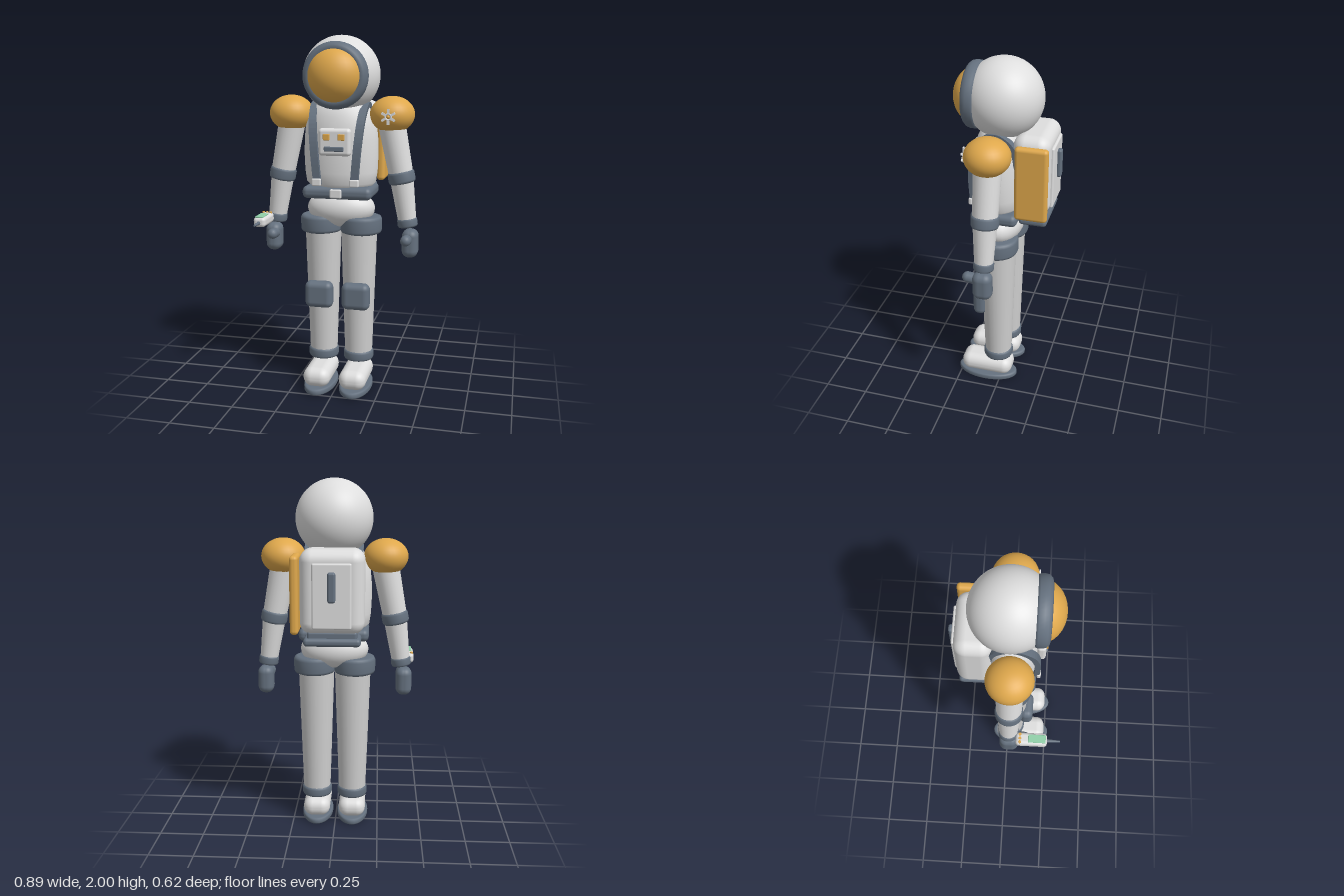
import * as THREE from 'three';
import { RoundedBoxGeometry } from 'three/addons/geometries/RoundedBoxGeometry.js';

const mat = (name, color) => {
  const m = new THREE.MeshStandardMaterial({ color });
  m.name = name;
  return m;
};
const V = (x, y, z = 0) => new THREE.Vector3(x, y, z);

export function createModel() {
  const suit = mat('suitWhite', 0xdedede);
  const cloth = mat('legCloth', 0xcfcfcf);
  const grey = mat('slateGrey', 0x65717f);
  const gold = mat('gold', 0xdfa84c);
  const green = mat('screenGreen', 0x90cfa8);

  const model = new THREE.Group();
  model.name = 'astronaut';
  const body = new THREE.Group();
  body.name = 'body';
  body.position.set(0.006, 0, 0.02);
  model.add(body);

  const add = (name, geo, material, x = 0, y = 0, z = 0) => {
    const m = new THREE.Mesh(geo, material);
    m.name = name;
    m.position.set(x, y, z);
    body.add(m);
    return m;
  };
  const box = (name, material, w, h, d, r, x, y, z) =>
    add(name, new RoundedBoxGeometry(w, h, d, 4, r), material, x, y, z);
  const ball = (name, material, rx, ry, rz, x, y, z) =>
    add(name, new THREE.SphereGeometry(1, 32, 20).scale(rx, ry, rz), material, x, y, z);
  const lathe = (pts, seg = 32) => new THREE.LatheGeometry(pts.map(p => new THREE.Vector2(...p)), seg);
  // soft-edged disc or cuff centred on its own middle
  const band = (r, h, e = 0.015) => lathe([[0, -h / 2], [r - e, -h / 2], [r - e * 0.3, -h / 2 + e * 0.3],
    [r, -h / 2 + e], [r, h / 2 - e], [r - e * 0.3, h / 2 - e * 0.3], [r - e, h / 2], [0, h / 2]]);
  const along = (mesh, a, b) => {
    mesh.quaternion.setFromUnitVectors(V(0, 1), b.clone().sub(a).normalize());
    return mesh;
  };
  // tapered limb from a (radius ra) up to b (radius rb)
  const limb = (name, material, a, b, ra, rb) => {
    const mid = a.clone().lerp(b, 0.5);
    along(add(name, new THREE.CylinderGeometry(rb, ra, a.distanceTo(b), 24), material, mid.x, mid.y, mid.z), a, b);
  };

  // helmet, visor rim and visor
  add('helmet', new THREE.SphereGeometry(0.213, 48, 32), suit, 0, 1.787, -0.01);
  add('visorRim', lathe([[0.15, 0.105], [0.172, 0.11], [0.178, 0.125], [0.178, 0.15], [0.173, 0.168],
    [0.16, 0.181], [0.143, 0.186], [0.13, 0.18]], 48).rotateX(Math.PI / 2), grey, 0, 1.787, 0);
  ball('visor', gold, 0.156, 0.153, 0.13, 0, 1.787, 0.13);

  // torso
  add('torso', lathe([[0, 1.17], [0.17, 1.175], [0.196, 1.2], [0.205, 1.26], [0.209, 1.35], [0.207, 1.44],
    [0.2, 1.51], [0.183, 1.57], [0.15, 1.625], [0.09, 1.66], [0, 1.67]], 40).scale(1, 1, 0.7), suit);
  ball('pelvis', suit, 0.193, 0.11, 0.122, 0, 1.05, 0);
  box('belt', grey, 0.39, 0.07, 0.26, 0.03, 0, 1.15, 0.005);
  box('beltBuckle', suit, 0.065, 0.05, 0.02, 0.008, 0, 1.15, 0.138);

  // chest control panel
  box('chestPanel', suit, 0.178, 0.148, 0.05, 0.02, 0, 1.435, 0.152);
  for (const s of [-1, 1]) box('panelButton', gold, 0.036, 0.034, 0.012, 0.004, s * 0.041, 1.464, 0.18);
  box('panelSlot', grey, 0.108, 0.026, 0.012, 0.005, 0, 1.4, 0.18);

  // harness straps curving over the shoulders
  const outer = [[0.15, 1.2], [0.155, 1.35], [0.146, 1.46], [0.118, 1.55], [0.06, 1.62], [0, 1.643],
    [-0.06, 1.62], [-0.11, 1.56], [-0.13, 1.45], [-0.14, 1.25]];
  const inner = [[0.12, 1.2], [0.125, 1.35], [0.115, 1.45], [0.09, 1.535], [0.045, 1.595], [0, 1.615],
    [-0.045, 1.595], [-0.085, 1.54], [-0.1, 1.45], [-0.11, 1.25]];
  const smooth = pts => new THREE.SplineCurve(pts.map(p => new THREE.Vector2(...p))).getPoints(36);
  for (const s of [-1, 1]) {
    const outline = new THREE.Shape([...smooth(outer), ...smooth(inner).reverse()]);
    const g = new THREE.ExtrudeGeometry(outline, { depth: 0.042, bevelEnabled: false });
    g.translate(0, 0, -0.021).rotateY(-Math.PI / 2);
    const p = g.attributes.position;
    for (let i = 0; i < p.count; i++) p.setX(i, p.getX(i) + s * (0.102 + (p.getY(i) - 1.2) * 0.09));
    g.computeVertexNormals();
    add('harnessStrap', g, grey);
    box('strapBuckle', suit, 0.052, 0.042, 0.022, 0.008, s * 0.105, 1.213, 0.148);
  }

  // backpack with side tank, rear plate, handle and base
  box('backpack', suit, 0.348, 0.455, 0.2, 0.065, 0, 1.415, -0.192);
  box('backPlate', suit, 0.21, 0.35, 0.024, 0.01, 0, 1.4, -0.293);
  box('backHandle', grey, 0.042, 0.16, 0.03, 0.012, 0, 1.45, -0.313);
  box('backpackBase', grey, 0.31, 0.045, 0.155, 0.02, 0, 1.146, -0.205);
  box('baseNeck', grey, 0.27, 0.05, 0.12, 0.015, 0, 1.18, -0.205);
  box('sideTank', gold, 0.046, 0.42, 0.177, 0.02, 0.2, 1.4, -0.208);

  for (const s of [-1, 1]) {
    // arm
    const shoulder = V(s * 0.272, 1.58), elbow = V(s * 0.341, 1.235), wrist = V(s * 0.379, 0.975);
    ball('shoulderCap', gold, 0.123, 0.1, 0.123, s * 0.285, 1.577, 0);
    limb('upperArm', suit, elbow, shoulder, 0.067, 0.077);
    limb('forearm', suit, wrist, elbow, 0.05, 0.066);
    along(add('elbowCuff', band(0.075, 0.07), grey, elbow.x, elbow.y, 0), elbow, shoulder);
    along(add('wristCuff', band(0.056, 0.052, 0.012), grey, s * 0.378, 0.982, 0), wrist, elbow);
    // glove
    box('glove', grey, 0.09, 0.16, 0.108, 0.04, s * 0.396, 0.865, 0.003);
    const thumb = add('thumb', new THREE.CapsuleGeometry(0.03, 0.045, 6, 14), grey, s * 0.382, 0.893, 0.068);
    thumb.rotation.x = Math.PI / 2 - 0.1;

    // leg
    limb('leg', cloth, V(s * 0.104, 0.17), V(s * 0.104, 0.98), 0.078, 0.104);
    add('hipCuff', band(0.118, 0.1, 0.02), grey, s * 0.115, 0.96, 0);
    box('kneePad', grey, 0.16, 0.154, 0.078, 0.035, s * 0.106, 0.56, 0.097);
    add('ankleCuff', band(0.087, 0.06), grey, s * 0.104, 0.187, 0);
    // boot and sole
    box('boot', suit, 0.156, 0.112, 0.31, 0.053, s * 0.104, 0.088, 0.066);
    const sole = add('sole', band(0.092, 0.036, 0.01), grey, s * 0.104, 0.018, 0.068);
    sole.scale.z = 1.98;
  }

  // flower emblem on the left shoulder
  const emblem = new THREE.Group();
  emblem.name = 'shoulderEmblem';
  emblem.position.set(0.283, 1.572, 0.124);
  body.add(emblem);
  const petal = new THREE.BoxGeometry(0.013, 0.027, 0.008).translate(0, 0.028, 0);
  for (let i = 0; i < 6; i++) {
    const m = new THREE.Mesh(petal, suit);
    m.name = 'emblemPetal';
    m.rotation.z = i * Math.PI / 3;
    emblem.add(m);
  }
  const ring = new THREE.Mesh(new THREE.TorusGeometry(0.016, 0.005, 8, 18), suit);
  ring.name = 'emblemRing';
  const knob = new THREE.Mesh(new THREE.SphereGeometry(0.009, 12, 8), gold);
  knob.name = 'emblemCentre';
  emblem.add(ring, knob);

  // handheld scanner by the right hand
  box('scannerBody', suit, 0.07, 0.056, 0.175, 0.02, -0.419, 0.984, 0.128);
  box('scannerScreen', green, 0.045, 0.009, 0.097, 0.003, -0.42, 1.013, 0.159);
  for (const i of [-1, 0, 1])
    add('scannerButton', new THREE.CylinderGeometry(0.008, 0.008, 0.009, 12), gold, -0.42 + i * 0.0215, 1.013, 0.065);
  add('scannerProbe', new THREE.CylinderGeometry(0.005, 0.011, 0.08, 12).rotateX(Math.PI / 2), grey,
    -0.42, 0.982, 0.247);

  return model;
}
